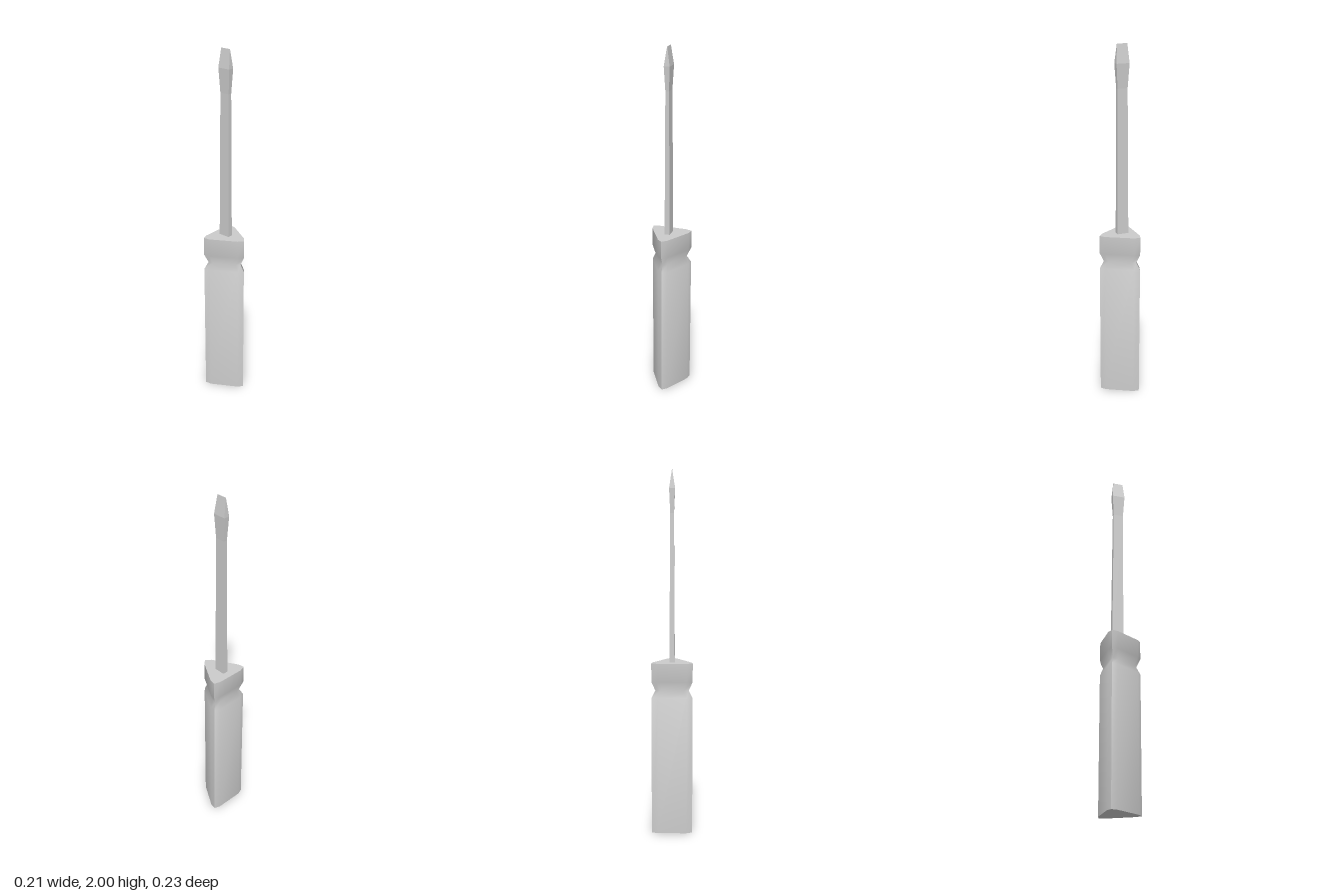
import * as THREE from 'three';
import { toCreasedNormals } from 'three/addons/utils/BufferGeometryUtils.js';

// Skin a stack of equal-length rings (counterclockwise seen from above) and cap both ends.
function loft(rings, crease) {
  const n = rings[0].length;
  const pos = [];
  const tri = (...pts) => pts.forEach((p) => pos.push(...p));
  for (let i = 0; i < rings.length - 1; i++) {
    for (let j = 0; j < n; j++) {
      const k = (j + 1) % n;
      const a = rings[i][j], b = rings[i][k], c = rings[i + 1][k], d = rings[i + 1][j];
      tri(a, b, c);
      tri(a, c, d);
    }
  }
  const bottom = rings[0], top = rings[rings.length - 1];
  for (let j = 1; j < n - 1; j++) {
    tri(bottom[0], bottom[j + 1], bottom[j]);
    tri(top[0], top[j], top[j + 1]);
  }
  const geo = new THREE.BufferGeometry();
  geo.setAttribute('position', new THREE.Float32BufferAttribute(pos, 3));
  return toCreasedNormals(geo, crease);
}

export function createModel() {
  const group = new THREE.Group();
  group.name = 'screwdriver';
  const material = new THREE.MeshStandardMaterial({ color: 0xcccccc });
  const add = (name, geo) => {
    const mesh = new THREE.Mesh(geo, material);
    mesh.name = name;
    group.add(mesh);
  };

  // Handle: rounded triangular section, mirrored in z, with a pinched neck
  const half = [[0.08, -0.027], [-0.058, -0.107], [-0.093, -0.113], [-0.105, -0.079]];
  const section = [[0.103, 0], ...half, ...half.map(([x, z]) => [x, -z]).reverse()];
  const cx = -0.025;
  const levels = [[0, 1], [0.77, 1], [0.81, 0.81], [0.86, 1], [0.963, 1]];
  add('handle', loft(levels.map(([y, s]) =>
    section.map(([x, z]) => [cx + (x - cx) * s, y, z * s])), 1.15));

  // Blade: flat bar that flares, then tapers to a thin edge [y, left x, right x, half depth]
  const blade = [
    [0.95, -0.063, 0.001, 0.015],
    [1.77, -0.057, 0, 0.01],
    [1.9, -0.065, 0.008, 0.016],
    [2, -0.058, 0, 0.0005],
  ];
  add('blade', loft(blade.map(([y, x0, x1, d]) =>
    [[x1, y, d], [x1, y, -d], [x0, y, -d], [x0, y, d]]), 0.05));

  return group;
}
